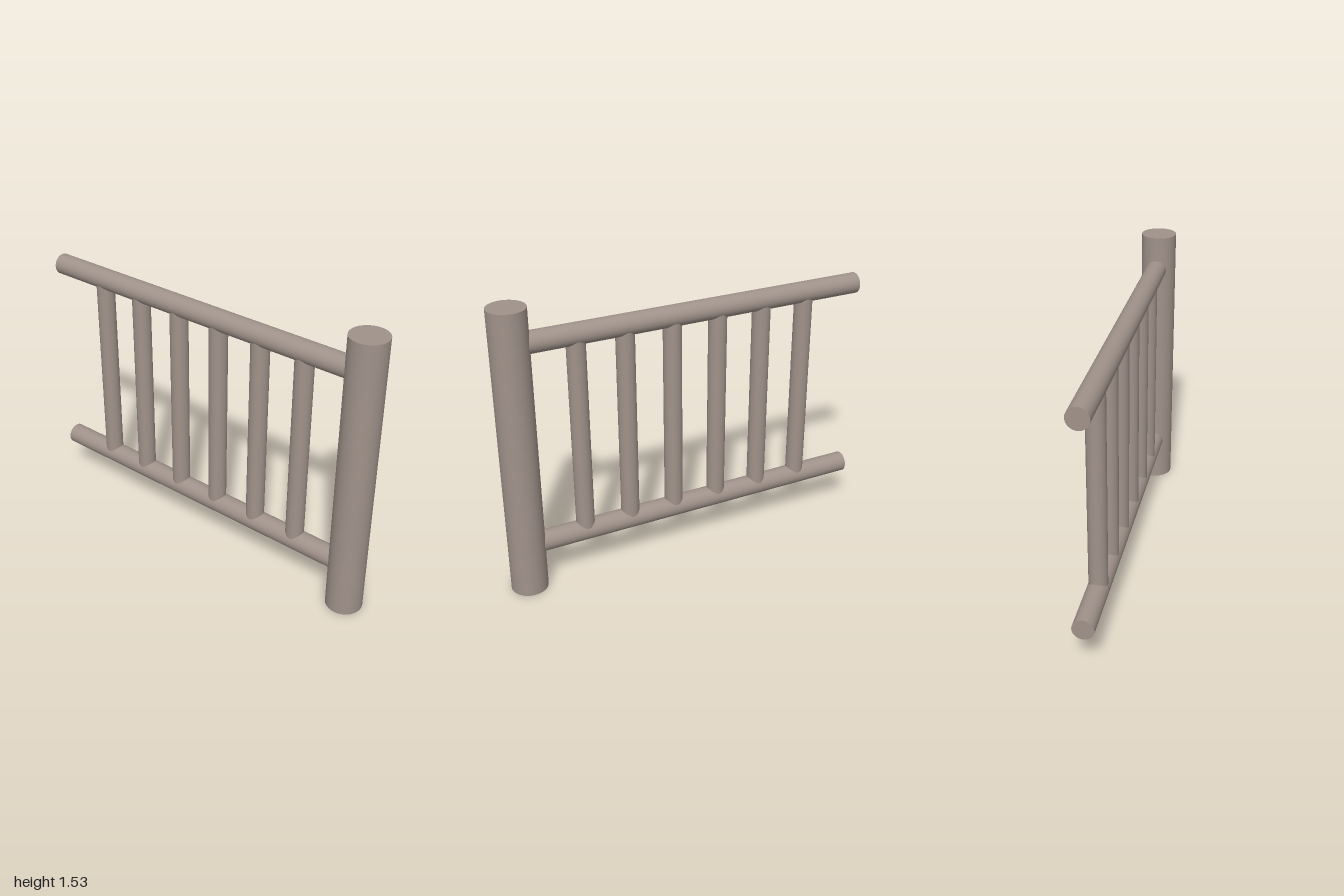
import * as THREE from 'three';

export function createModel() {
  const model = new THREE.Group();
  const wood = new THREE.MeshStandardMaterial({ color: 0xa0928a });
  wood.name = 'weathered wood';

  const POST_X = 0.905;
  const RAIL_Y = [0.25, 1.343];

  // Smooth round pole, upright by default
  function pole(name, radius, length, x, y) {
    const mesh = new THREE.Mesh(new THREE.CylinderGeometry(radius, radius, length, 48), wood);
    mesh.name = name;
    mesh.position.set(x, y, 0);
    model.add(mesh);
    return mesh;
  }

  // Thick end post
  pole('post', 0.095, 1.53, POST_X, 0.765);

  // Horizontal rails running into the post
  RAIL_Y.forEach((y, i) => {
    const length = POST_X + 1;
    const rail = pole(i ? 'topRail' : 'bottomRail', 0.055, length, -1 + length / 2, y);
    rail.rotation.z = Math.PI / 2;
  });

  // Evenly spaced balusters, ends buried in the rails
  for (let i = 0; i < 6; i++) {
    pole(`baluster${i + 1}`, 0.048, RAIL_Y[1] - RAIL_Y[0], -0.683 + i * 0.2533, (RAIL_Y[0] + RAIL_Y[1]) / 2);
  }

  return model;
}
